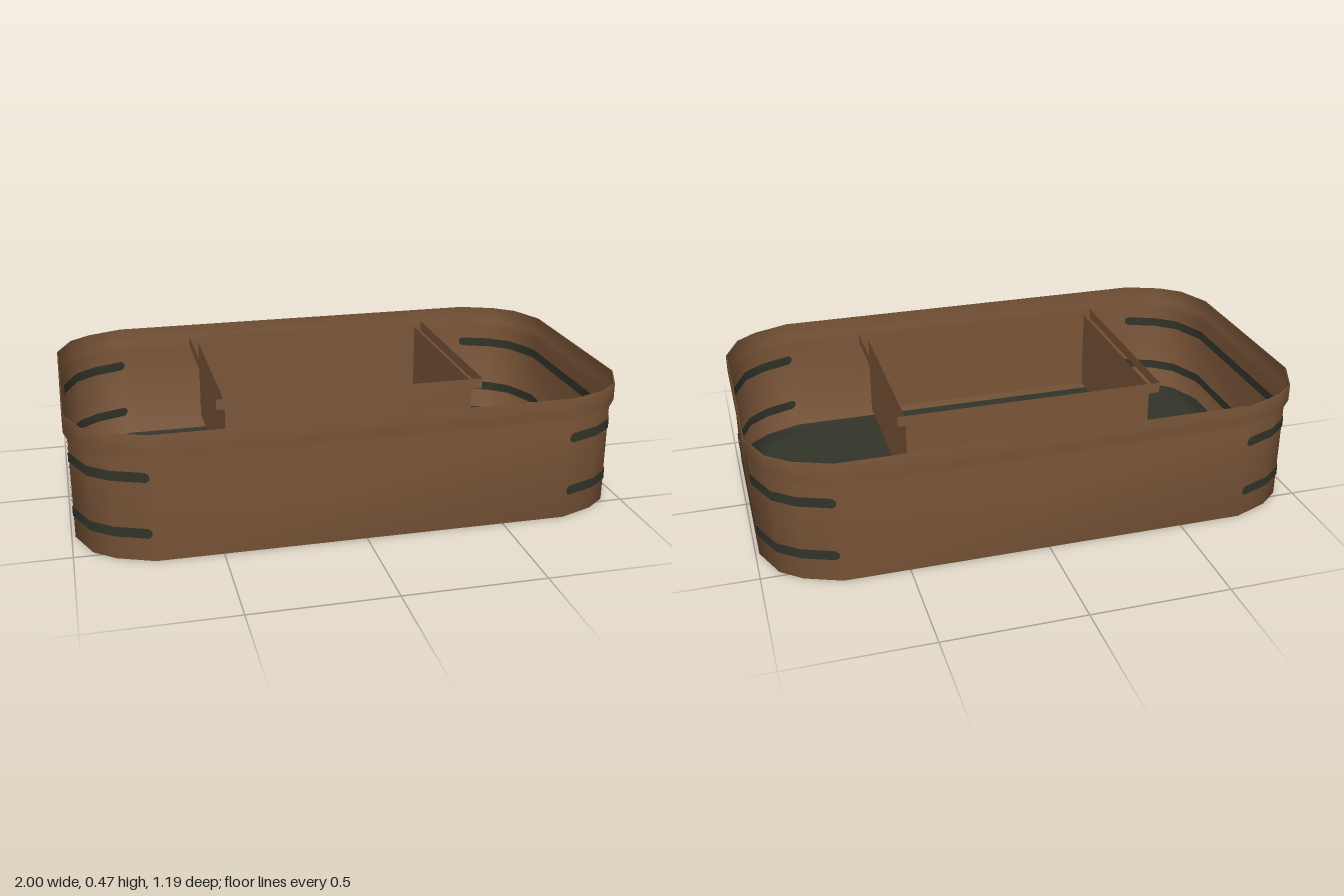
import * as THREE from 'three';

const brown = new THREE.MeshStandardMaterial({ color: 0x7a5538, side: THREE.DoubleSide });
brown.name = 'brown';
const darkGreen = new THREE.MeshStandardMaterial({ color: 0x32342a, side: THREE.DoubleSide });
darkGreen.name = 'darkGreen';

// One rounded corner of the tray plan, from the short side to the long side
const corner = [[1, 0.35], [0.945, 0.483], [0.87, 0.545], [0.74, 0.597]];
const mirrorZ = (path) => path.map(([x, z]) => [x, -z]).reverse();
const endPath = [...mirrorZ(corner), ...corner];
const outline = [...endPath, ...endPath.map(([x, z]) => [-x, -z])];
const rectangle = (x, z) => [[x, -z], [x, z], [-x, z], [-x, -z]];

const ring = (path, y, s = 1) => path.map(([x, z]) => [x * s, y, z * s]);

// Skin between rings; it faces outward when the rings rise
function skin(rings, closed = true) {
  const n = rings[0].length;
  const index = [];
  for (let j = 0; j < rings.length - 1; j++) {
    for (let i = 0; i < (closed ? n : n - 1); i++) {
      const a = j * n + i, b = j * n + (i + 1) % n, c = a + n, d = b + n;
      index.push(a, c, b, b, c, d);
    }
  }
  const g = new THREE.BufferGeometry();
  g.setAttribute('position', new THREE.Float32BufferAttribute(rings.flat(2), 3));
  g.setIndex(index);
  g.computeVertexNormals();
  return g;
}

function flat(geometry) {
  const g = geometry.toNonIndexed();
  g.computeVertexNormals();
  return g;
}

export function createModel() {
  const group = new THREE.Group();
  const add = (name, geometry, material) => {
    const mesh = new THREE.Mesh(geometry, material);
    mesh.name = name;
    group.add(mesh);
  };

  // Tray: dark floor, then a wall with a flared rim, smooth throughout
  const tray = skin([
    ring(outline, 0, 0), ring(outline, 0, 0.9), ring(outline, 0, 0.987),
    ring(outline, 0.365, 0.987), ring(outline, 0.395, 1),
    ring(outline, 0.457, 1), ring(outline, 0.457, 0.996),
  ]);
  const floorCount = 2 * outline.length * 6;
  tray.addGroup(0, floorCount, 0);
  tray.addGroup(floorCount, tray.index.count - floorCount, 1);
  add('tray', tray, [darkGreen, brown]);

  // Painted bands around both ends, inside and outside, with narrowed tips
  const tip = [...corner.slice(0, 3), [0.757, 0.59], [0.745, 0.595]];
  const bandPath = [...mirrorZ(tip), ...tip];
  for (const side of [1, -1]) {
    for (const y of [0.101, 0.304]) {
      for (const s of [0.99, 0.984]) {
        const edge = (half) => bandPath.map(([x, z], i) => {
          const atTip = i === 0 || i === bandPath.length - 1;
          return [x * s * side, y + half * (atTip ? 0.45 : 1), z * s * side];
        });
        add('endBand', skin([edge(-0.018), edge(0.018)], false), darkGreen);
      }
    }
  }

  // Open inner box, raised above the floor, with an upright rim around it
  const inner = rectangle(0.45, 0.35), outer = rectangle(0.482, 0.368);
  add('innerBox', flat(skin([ring(inner, 0.15), ring(inner, 0.458)])), brown);
  add('innerBoxRim', flat(skin([ring(outer, 0.437), ring(outer, 0.475)])), brown);

  return group;
}
